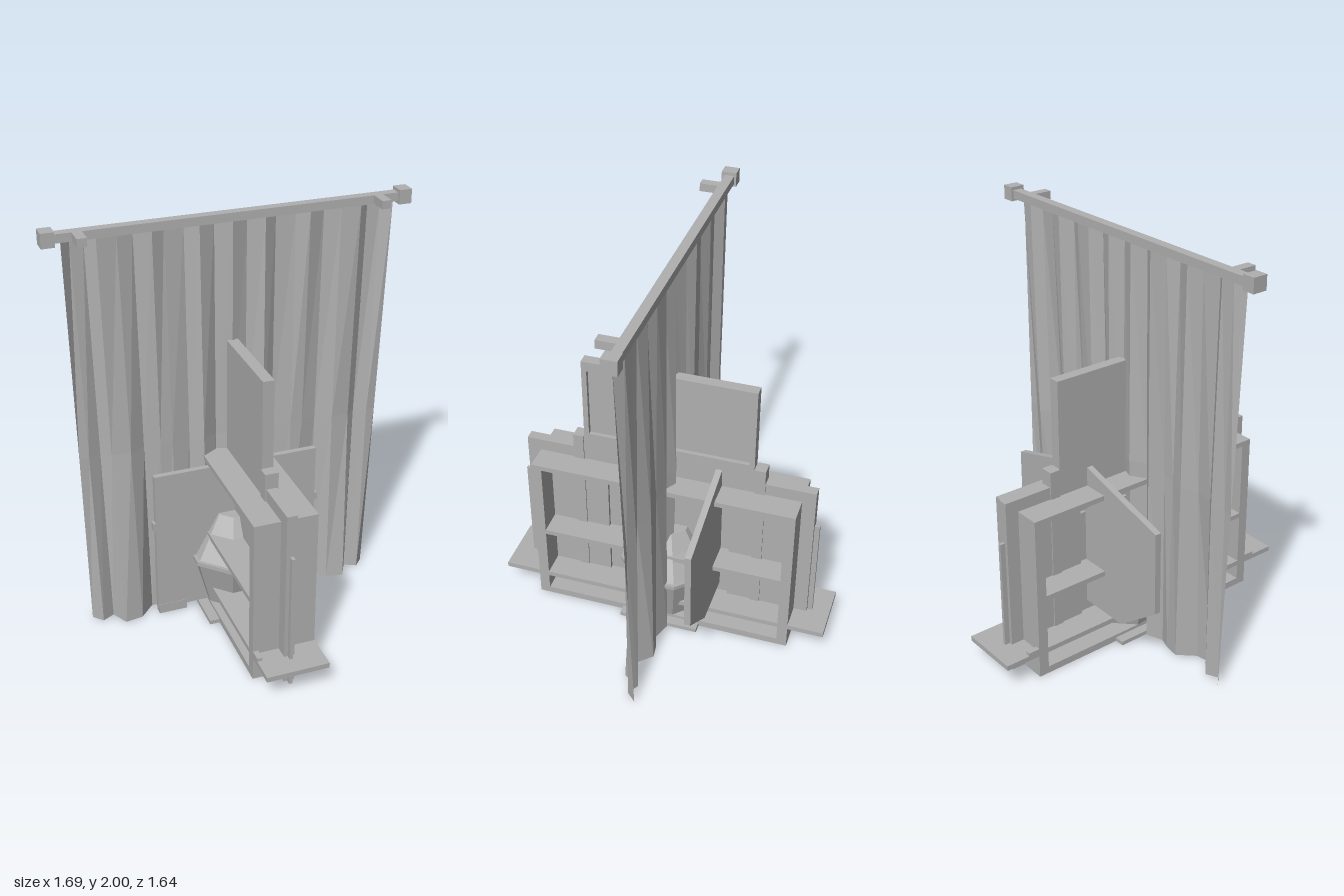
import * as THREE from 'three';

export function createModel() {
  const model = new THREE.Group();
  const grey = new THREE.MeshStandardMaterial({ color: 0xb0b0b0 });
  grey.name = 'plain grey';
  grey.side = THREE.DoubleSide;
  grey.flatShading = true;

  const add = (name, geometry) => {
    const mesh = new THREE.Mesh(geometry, grey);
    mesh.name = name;
    model.add(mesh);
    return mesh;
  };
  // Box given by its lower and upper limits on each axis
  const box = (name, x0, x1, y0, y1, z0, z1) => {
    const mesh = add(name, new THREE.BoxGeometry(x1 - x0, y1 - y0, z1 - z0));
    mesh.position.set((x0 + x1) / 2, (y0 + y1) / 2, (z0 + z1) / 2);
    return mesh;
  };
  const polygon = (points) => new THREE.Shape(points.map(([x, y]) => new THREE.Vector2(x, y)));
  const extrude = (shape, depth) => new THREE.ExtrudeGeometry(shape, { depth, bevelEnabled: false });

  // Curtain: each fold is [x fraction, z at top, z in the middle, z at bottom]
  const folds = [
    [0, -0.02, -0.03, 0.03], [0.1, -0.05, -0.055, -0.03], [0.2, -0.02, -0.01, 0.035],
    [0.28, -0.055, -0.05, -0.05], [0.4, -0.045, -0.03, -0.02], [0.48, -0.02, -0.03, -0.04],
    [0.58, -0.05, -0.05, -0.05], [0.68, -0.03, -0.01, 0.025], [0.8, -0.02, -0.02, 0.04],
    [0.86, -0.055, -0.055, -0.04], [0.94, -0.05, -0.03, -0.01], [1, -0.015, -0.035, -0.055],
  ];
  const all = [...folds.slice(1).reverse().map(([u, ...z]) => [-u, ...z]), ...folds];
  const rows = [[1.95, 0.76], [0.9, 0.735], [0, 0.715]];
  const cloth = new THREE.PlaneGeometry(1, 1, all.length - 1, rows.length - 1);
  rows.forEach(([y, half], r) => all.forEach((fold, c) =>
    cloth.attributes.position.setXYZ(r * all.length + c, fold[0] * half, y, fold[r + 1])));
  cloth.computeVertexNormals();
  add('curtain', cloth);

  // Curtain rod with square ends and wall brackets
  box('curtainRod', -0.79, 0.79, 1.945, 1.985, -0.06, -0.015);
  for (const s of [-1, 1]) {
    const end = box('rodEnd', -0.03, 0.03, 1.933, 2, -0.07, 0);
    end.position.x = s * 0.815;
    const bracket = box('rodBracket', -0.022, 0.022, 1.947, 1.985, -0.02, 0.07);
    bracket.position.x = s * 0.688;
  }

  // Shelf unit
  box('topShelf', -0.15, 0.15, 0.795, 0.82, -0.645, 0.645);
  box('middleShelf', -0.15, 0.15, 0.395, 0.42, -0.595, 0.595);
  box('lowerShelf', -0.15, 0.15, 0.115, 0.14, -0.82, 0.82);
  box('shelfBase', -0.15, 0.15, 0, 0.035, -0.645, 0.645);
  for (const s of [-1, 1]) {
    const upright = box('shelfUpright', -0.15, 0.15, 0, 0.82, -0.025, 0.025);
    upright.position.z = s * 0.62;
    const block = box('shelfBlock', -0.15, -0.125, 0.14, 0.155, -0.03, 0.03);
    block.position.z = s * 0.67;
  }

  // Upright board across the middle, with a central opening
  const board = polygon([[-0.71, 0], [0.71, 0], [0.71, 0.88], [-0.71, 0.88]]);
  board.holes.push(polygon([[-0.305, 0.04], [-0.305, 0.7], [0.305, 0.7], [0.305, 0.04]]));
  const boardMesh = add('middleBoard', extrude(board, 0.05));
  boardMesh.rotation.y = Math.PI / 2;
  boardMesh.position.x = -0.025;
  box('thinInnerBoard', -0.008, 0.008, 0, 0.675, -0.735, 0.735);
  box('mantel', -0.025, 0.025, 0.88, 0.955, -0.47, 0.47);
  for (const s of [-1, 1]) {
    const post = box('boardPost', -0.032, 0.032, 0.03, 0.955, -0.025, 0.025);
    post.position.z = s * 0.445;
  }

  // Framed panel above, recessed on its left side
  box('upperPanel', -0.025, 0.008, 0.955, 1.38, -0.415, 0.415);
  const frame = polygon([[-0.415, 0.955], [0.415, 0.955], [0.415, 1.38], [-0.415, 1.38]]);
  frame.holes.push(polygon([[-0.39, 0.975], [-0.39, 1.33], [0.39, 1.33], [0.39, 0.975]]));
  const frameMesh = add('panelFrame', extrude(frame, 0.02));
  frameMesh.rotation.y = Math.PI / 2;
  frameMesh.position.x = 0.008;

  // Front panel with side knobs
  box('frontPanel', -0.405, 0.405, 0.03, 0.77, 0, 0.028);
  for (const s of [-1, 1]) {
    const knob = box('panelKnob', -0.008, 0.008, 0.48, 0.52, 0, 0.03);
    knob.position.x = s * 0.41;
    const foot = box('panelFoot', -0.07, 0.07, 0, 0.05, -0.01, 0.03);
    foot.position.x = s * 0.33;
  }

  // Faceted back panel with a low gable
  const back = polygon([[-0.27, 0.19], [0.27, 0.19], [0.51, 0.37], [0.51, 0.78],
    [0, 0.92], [-0.51, 0.78], [-0.51, 0.37]]);
  add('backPanel', extrude(back, 0.03)).position.z = -0.262;

  // Eight-sided urn on a square plate
  box('urnPlate', -0.198, 0.198, 0, 0.02, -0.198, 0.198);
  const profile = [[0, 0.03], [0.16, 0.03], [0.232, 0.28], [0.242, 0.28], [0.242, 0.3],
    [0.225, 0.3], [0.1, 0.51], [0, 0.51]].map(([r, y]) => new THREE.Vector2(r, y));
  add('urn', new THREE.LatheGeometry(profile, 8, Math.PI / 8).toNonIndexed());

  return model;
}
